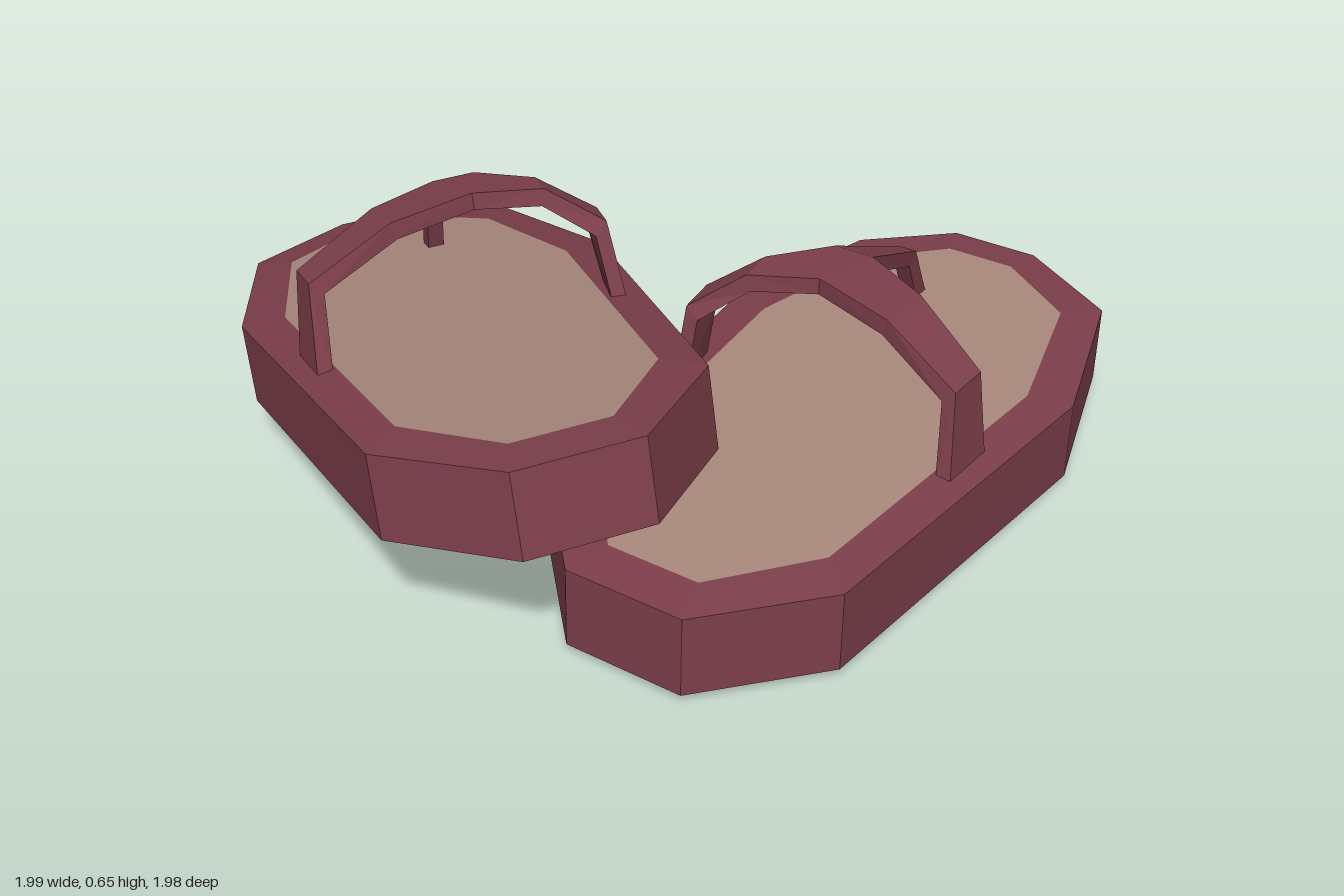
import * as THREE from 'three';

const strapColor = 0x7d3f4b, insoleColor = 0xab8a7e;

// Sole outline [x, z], heel first, counterclockwise from above
const outline = [
  [-0.14, 0.88], [0.14, 0.88], [0.36, 0.63], [0.45, -0.27], [0.33, -0.72],
  [0.07, -0.89], [-0.15, -0.89], [-0.34, -0.71], [-0.45, -0.27], [-0.37, 0.63],
];

// Collects quads and triangles into one mesh; side = -1 mirrors it in x
function builder(name, color, side) {
  const pos = [];
  const tri = (a, b, c) => {
    for (const p of side > 0 ? [a, b, c] : [a, c, b]) pos.push(p[0] * side, p[1], p[2]);
  };
  return {
    tri,
    quad: (a, b, c, d) => { tri(a, b, c); tri(a, c, d); },
    mesh() {
      const g = new THREE.BufferGeometry();
      g.setAttribute('position', new THREE.Float32BufferAttribute(pos, 3));
      g.computeVertexNormals();
      const m = new THREE.Mesh(g, new THREE.MeshStandardMaterial({ color, flatShading: true }));
      m.name = name;
      return m;
    },
  };
}

const ring = (sx, sz, y) => outline.map(([x, z]) => [x * sx, y, z * sz]);

// Joins consecutive rings of points with quads
function loft(b, rings) {
  for (let k = 0; k + 1 < rings.length; k++) {
    const lo = rings[k], hi = rings[k + 1], n = lo.length;
    for (let i = 0; i < n; i++) {
      const j = (i + 1) % n;
      b.quad(lo[i], lo[j], hi[j], hi[i]);
    }
  }
}

function cap(b, pts, y, up) {
  pts.forEach((p, i) => {
    const q = pts[(i + 1) % pts.length];
    if (up) b.tri([0, y, 0], p, q);
    else b.tri([0, y, 0], q, p);
  });
}

// Strap section: left and right top corners plus the offset to the underside
function section([l, r, o]) {
  const add = (p) => p.map((v, i) => v + o[i]);
  return [l, r, add(r), add(l)];
}

function makeSandal(name, side) {
  const group = new THREE.Group();
  group.name = name;

  // Sole: slightly bulged bottom, straight wall, flat rim
  const sole = builder('sole', strapColor, side);
  const bottom = ring(0.8, 0.85, 0), top = ring(0.78, 0.88, 0.22);
  loft(sole, [bottom, ring(1, 1, 0.02), ring(1, 1, 0.21), top]);
  cap(sole, bottom, 0, false);
  group.add(sole.mesh());

  // Insole
  const insole = builder('insole', insoleColor, side);
  cap(insole, top, 0.222, true);
  group.add(insole.mesh());

  // Strap: three arms leaving a triangular hub
  const strap = builder('strap', strapColor, side);
  const h1 = [-0.14, 0.48, -0.19], h2 = [-0.04, 0.48, -0.19], h3 = [-0.09, 0.48, -0.03];
  const down = [0, -0.04, 0];
  const arms = [
    // toe post
    [[h1, h2, down],
      [[-0.11, 0.36, -0.48], [-0.07, 0.36, -0.48], [0, -0.03, 0.03]],
      [[-0.11, 0.2, -0.56], [-0.07, 0.2, -0.56], [0, 0, 0.05]]],
    // long outer arm
    [[h2, h3, down],
      [[0.13, 0.475, -0.1], [0.12, 0.475, 0.04], [-0.01, -0.04, 0]],
      [[0.34, 0.41, 0.02], [0.335, 0.41, 0.13], [-0.03, -0.03, 0]],
      [[0.37, 0.2, 0.02], [0.36, 0.2, 0.17], [-0.035, 0, 0]]],
    // short inner arm
    [[h3, h1, down],
      [[-0.24, 0.475, 0.04], [-0.25, 0.475, -0.06], [0.01, -0.04, 0]],
      [[-0.355, 0.39, 0.11], [-0.37, 0.39, 0], [0.03, -0.03, 0]],
      [[-0.37, 0.2, 0.14], [-0.395, 0.2, 0.01], [0.035, 0, 0]]],
  ];
  for (const arm of arms) loft(strap, arm.map(section));
  const low = (p) => [p[0], p[1] - 0.04, p[2]];
  strap.tri(h1, h3, h2);
  strap.tri(low(h1), low(h2), low(h3));
  group.add(strap.mesh());
  return group;
}

export function createModel() {
  const model = new THREE.Group();
  model.name = 'sandals';

  // One sandal lies flat
  const flat = makeSandal('flatSandal', 1);
  flat.position.set(0.55, 0, -0.11);

  // Its mirrored partner leans on it, heel raised
  const leaning = makeSandal('leaningSandal', -1);
  leaning.position.set(-0.19, 0.165, 0.327);
  leaning.rotation.set(-0.191, 0.96, 0.062, 'YXZ');

  model.add(flat, leaning);
  return model;
}
